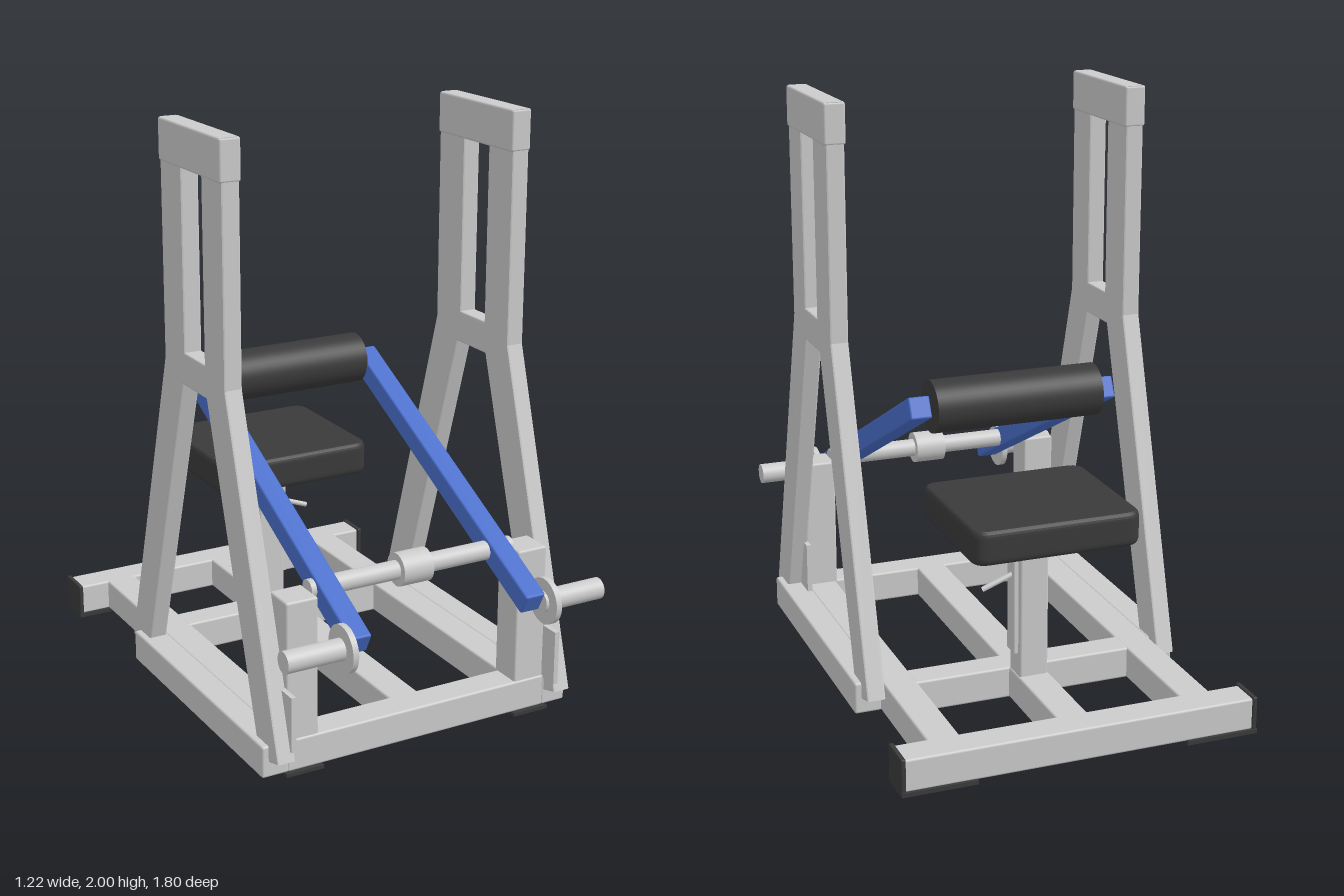
import * as THREE from 'three';
import { RoundedBoxGeometry } from 'three/addons/geometries/RoundedBoxGeometry.js';

const steel = new THREE.MeshStandardMaterial({ color: 0xcccccc });
const black = new THREE.MeshStandardMaterial({ color: 0x3a3a3a });
const blue = new THREE.MeshStandardMaterial({ color: 0x4a6fcc });

export function createModel() {
  const model = new THREE.Group();

  const add = (name, geometry, material, x = 0, y = 0, z = 0) => {
    const mesh = new THREE.Mesh(geometry, material);
    mesh.name = name;
    mesh.position.set(x, y, z);
    model.add(mesh);
    return mesh;
  };
  // Rounded bar given by its limits on each axis
  const bar = (name, [x0, x1], [y0, y1], [z0, z1], material = steel, r = 0.008) =>
    add(name, new RoundedBoxGeometry(x1 - x0, y1 - y0, z1 - z0, 2, r), material,
      (x0 + x1) / 2, (y0 + y1) / 2, (z0 + z1) / 2);
  // Sharp plate given by its limits
  const plate = (name, [x0, x1], [y0, y1], [z0, z1], material = steel) =>
    add(name, new THREE.BoxGeometry(x1 - x0, y1 - y0, z1 - z0), material,
      (x0 + x1) / 2, (y0 + y1) / 2, (z0 + z1) / 2);
  // The same limits on the model's left (+1) or right (-1)
  const sided = (s, a, b) => (s > 0 ? [a, b] : [-b, -a]);
  // Cylinder lying along x
  const rod = (name, r, [x0, x1], y, z, material = steel) =>
    add(name, new THREE.CylinderGeometry(r, r, x1 - x0, 40).rotateZ(Math.PI / 2),
      material, (x0 + x1) / 2, y, z);

  // Base frame
  const railY = [0.01, 0.12];
  bar('rearCrossbar', [-0.6, 0.6], railY, [-0.89, -0.78]);
  bar('middleCrossbar', [-0.39, 0.39], railY, [-0.385, -0.28]);
  bar('frontCrossbar', [-0.49, 0.49], railY, [0.56, 0.67]);
  bar('centreRail', [-0.055, 0.055], railY, [-0.79, 0.57]);

  // A-frame side profile in (z, y)
  const outline = [
    [0.39, 2], [0.39, 1.21], [0.73, 0.08], [0.605, 0.045], [0.26, 1.15],
    [0.08, 1.15], [-0.265, 0.045], [-0.39, 0.08], [-0.05, 1.21], [-0.05, 2],
  ].map(p => new THREE.Vector2(...p));
  const profile = new THREE.Shape(outline);
  profile.holes.push(new THREE.Path(
    [[0.1, 1.26], [0.25, 1.26], [0.25, 1.86], [0.1, 1.86]].map(p => new THREE.Vector2(...p))));
  const bevel = 0.006;
  const frameGeometry = new THREE.ExtrudeGeometry(profile, {
    depth: 0.064 - 2 * bevel, bevelEnabled: true, bevelThickness: bevel,
    bevelSize: bevel, bevelOffset: -bevel, bevelSegments: 2,
  }).translate(0, 0, -0.032 + bevel).rotateY(-Math.PI / 2);

  // Lever arm runs from the weight pegs over the pivot to the roller
  const armFront = new THREE.Vector2(0.825, 0.482);
  const armRear = new THREE.Vector2(-0.27, 1.03);
  const armLength = armFront.distanceTo(armRear) + 0.01;
  const armAngle = Math.atan2(armRear.y - armFront.y, armFront.x - armRear.x);

  for (const s of [1, -1]) {
    bar('sideRail', sided(s, 0.38, 0.49), railY, [-0.79, 0.67]);
    bar('outerRail', sided(s, 0.485, 0.58), railY, [-0.325, 0.67]);
    add('sideFrame', frameGeometry, steel, s * 0.525, 0, 0);
    // Sleeve around the top of the frame
    bar('frameTop', sided(s, 0.488, 0.562), [1.862, 2], [-0.052, 0.392]);
    bar('pivotUpright', sided(s, 0.375, 0.49), [0.11, 0.59], [0.55, 0.665]);
    plate('jointPlate', sided(s, 0.49, 0.507), [0.11, 0.3], [0.49, 0.73]);

    // Feet and end caps
    plate('frontFoot', sided(s, 0.365, 0.5), [0, 0.012], [0.44, 0.685], black);
    plate('rearFoot', sided(s, 0.36, 0.61), [0, 0.014], [-0.9, -0.77], black);
    bar('endCap', sided(s, 0.594, 0.61), [0, 0.125], [-0.895, -0.772], black, 0.004);

    // Lever arm, weight peg and its stop flange
    const arm = add('leverArm', new RoundedBoxGeometry(0.075, 0.075, armLength, 2, 0.007), blue,
      s * 0.324, (armFront.y + armRear.y) / 2, (armFront.x + armRear.x) / 2);
    arm.rotation.x = armAngle;
    rod('weightPeg', 0.036, sided(s, 0.355, 0.585), 0.48, 0.825);
    rod('pegFlange', 0.078, sided(s, 0.365, 0.385), 0.48, 0.825);
  }

  // Pivot shaft with its central hub, and the padded roller
  rod('pivotShaft', 0.032, [-0.38, 0.38], 0.592, 0.6);
  rod('pivotHub', 0.056, [-0.055, 0.055], 0.592, 0.6);
  rod('rollerPad', 0.088, [-0.289, 0.289], 1.03, -0.268, black);

  // Seat cushion: rounded corners in plan and softened edges
  const w = 0.275, d = 0.2425, c = 0.04;
  const plan = new THREE.Shape();
  plan.moveTo(-w + c, -d);
  plan.lineTo(w - c, -d).quadraticCurveTo(w, -d, w, -d + c);
  plan.lineTo(w, d - c).quadraticCurveTo(w, d, w - c, d);
  plan.lineTo(-w + c, d).quadraticCurveTo(-w, d, -w, d - c);
  plan.lineTo(-w, -d + c).quadraticCurveTo(-w, -d, -w + c, -d);
  const cushion = new THREE.ExtrudeGeometry(plan, {
    depth: 0.065, bevelEnabled: true, bevelThickness: 0.025, bevelSize: 0.015,
    bevelSegments: 5, curveSegments: 10,
  }).rotateX(-Math.PI / 2);
  add('seat', cushion, black, 0, 0.645, -0.423);

  // Seat post, adjustment plate and lever
  bar('seatPost', [-0.05, 0.05], [0.11, 0.625], [-0.47, -0.375]);
  plate('adjustmentPlate', [0.045, 0.064], [0.2, 0.57], [-0.452, -0.388]);
  const leverPath = new THREE.LineCurve3(
    new THREE.Vector3(0.05, 0.475, -0.42), new THREE.Vector3(0.165, 0.432, -0.42));
  const lever = new THREE.TubeGeometry(leverPath, 1, 0.009, 12);
  add('adjustmentLever', lever, new THREE.MeshStandardMaterial({ color: 0xcccccc, side: THREE.DoubleSide }));
  return model;
}
